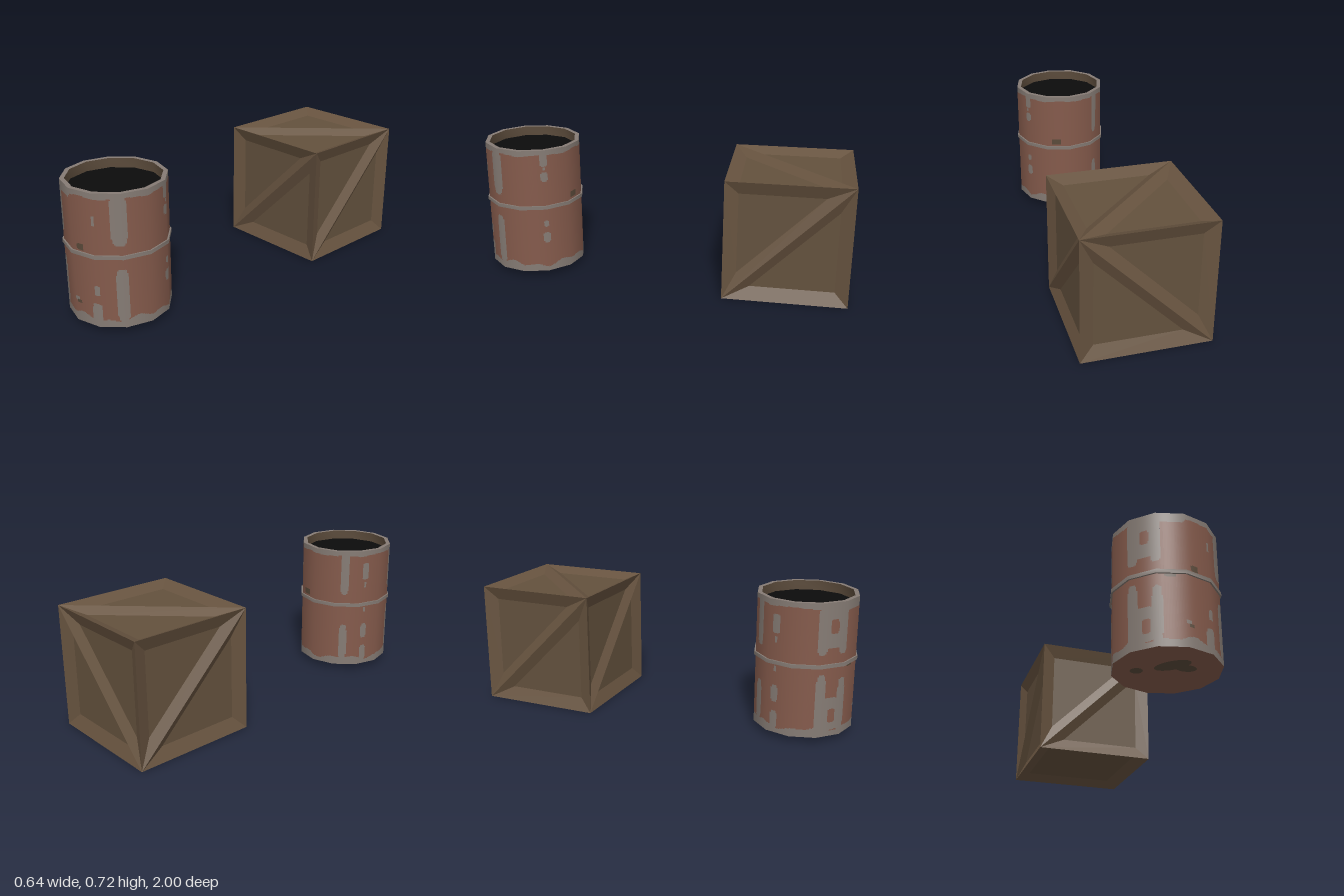
import * as THREE from 'three';
import { toCreasedNormals } from 'three/addons/utils/BufferGeometryUtils.js';

const mat = (name, color) => {
  const m = new THREE.MeshStandardMaterial({ color });
  m.name = name;
  return m;
};
const rad = THREE.MathUtils.degToRad;

function geometryFrom(positions, normals) {
  const g = new THREE.BufferGeometry();
  g.setAttribute('position', new THREE.Float32BufferAttribute(positions, 3));
  if (normals) g.setAttribute('normal', new THREE.Float32BufferAttribute(normals, 3));
  else g.computeVertexNormals();
  return g;
}

// ---------- crate ----------
const H = 0.3225; // half side
const INSET = 0.07, BAR = 0.05, DEPTH = 0.03;

// Sunken panel inside an outline: sloped border plus flat floor
function sunkenPanel(outer, inner) {
  const border = [], floor = [], n = outer.length;
  for (let i = 0; i < n; i++) {
    const j = (i + 1) % n;
    const a = [...outer[i], 0], b = [...outer[j], 0];
    const c = [...inner[j], -DEPTH], d = [...inner[i], -DEPTH];
    border.push(...a, ...b, ...c, ...a, ...c, ...d);
    if (i > 0 && i < n - 1) floor.push(...inner[0], -DEPTH, ...inner[i], -DEPTH, ...inner[j], -DEPTH);
  }
  return { border: geometryFrom(border), floor: geometryFrom(floor) };
}

function crateSide(name, braced, frameMat, panelMat) {
  const side = new THREE.Group();
  side.name = name;
  const add = (outer, inner) => {
    const { border, floor } = sunkenPanel(outer, inner);
    const frame = new THREE.Mesh(border, frameMat);
    frame.name = 'frameAndBrace';
    const panel = new THREE.Mesh(floor, panelMat);
    panel.name = 'panel';
    side.add(frame, panel);
  };
  const k = H - INSET, e = BAR * Math.SQRT2;
  if (braced) {
    // two triangular recesses leave a ridge along the diagonal
    const outer = [[-H, -H], [H, -H], [H, H]];
    const inner = [[-k + e, -k], [k, -k], [k, k - e]];
    const flip = (pts) => pts.map(([u, v]) => [v, u]).reverse();
    add(outer, inner);
    add(flip(outer), flip(inner));
  } else {
    add([[-H, -H], [H, -H], [H, H], [-H, H]], [[-k, -k], [k, -k], [k, k], [-k, k]]);
  }
  return side;
}

function createCrate(frameMat, panelMat) {
  const crate = new THREE.Group();
  crate.name = 'crate';
  const q = Math.PI / 2;
  const sides = [
    ['crateFront', 0, 0, 0, true],
    ['crateLeft', 0, q, 0, true],
    ['crateBack', 0, 2 * q, q, true],
    ['crateRight', 0, -q, 0, true],
    ['crateTop', -q, 0, 0, true],
    ['crateBottom', q, 0, 0, false],
  ];
  for (const [name, rx, ry, rz, braced] of sides) {
    const s = crateSide(name, braced, frameMat, panelMat);
    s.rotation.set(rx, ry, rz);
    s.position.set(0, 0, H).applyEuler(new THREE.Euler(rx, ry, 0));
    crate.add(s);
  }
  crate.position.set(0, H, -1 + H);
  return crate;
}

// ---------- barrel ----------
const R = 0.258, SIDES = 12, Y0 = 0.032, Y1 = 0.72;
const STEEL = 0, RED = 1, GRIME = 2;

// Worn spots: angle from the front in degrees, height, half angle, half height, colour
const SPOTS = [
  [-44, 0.61, 19, 0.12, STEEL], [-57, 0.55, 6, 0.09, STEEL], [-31, 0.56, 6, 0.10, STEEL],
  [-14, 0.70, 15, 0.03, STEEL], [-43, 0.60, 5, 0.037, RED],
  [-57, 0.20, 6, 0.16, STEEL], [-30, 0.19, 5.5, 0.145, STEEL], [-44, 0.15, 14, 0.085, STEEL],
  [-42, 0.14, 5, 0.036, RED],
  [57, 0.59, 9, 0.13, STEEL], [58, 0.20, 7, 0.14, STEEL],
  [30, 0.585, 2, 0.025, STEEL], [30, 0.225, 3.5, 0.026, STEEL], [29, 0.10, 6, 0.055, STEEL],
  [2, 0.155, 3, 0.011, STEEL], [4, 0.14, 3, 0.009, GRIME],
  [120, 0.68, 4.5, 0.05, STEEL], [120, 0.62, 2, 0.01, STEEL], [120, 0.575, 4, 0.027, STEEL],
  [120, 0.31, 2.5, 0.018, STEEL], [120, 0.23, 4, 0.03, STEEL],
  [221, 0.60, 5.5, 0.135, STEEL], [221, 0.17, 5, 0.11, STEEL],
  [249, 0.60, 4.5, 0.05, STEEL], [249, 0.52, 2, 0.015, STEEL],
  [249, 0.37, 2, 0.015, STEEL], [249, 0.24, 4, 0.045, STEEL], [249, 0.10, 4, 0.05, STEEL],
  [11, 0.435, 4.5, 0.017, GRIME], [-16, 0.388, 6, 0.008, GRIME], [162, 0.44, 6, 0.018, GRIME],
];

function wallColour(deg, y) {
  const t = rad(deg);
  const low = 0.072 + 0.009 * Math.sin(5 * t + 1) + 0.007 * Math.sin(11 * t);
  const high = 0.692 + 0.003 * Math.sin(7 * t);
  let colour = y < low || y > high ? STEEL : RED;
  for (const [a, h, da, dh, c] of SPOTS) {
    const u = ((((deg - a) % 360) + 540) % 360 - 180) / da, v = (y - h) / dh;
    if (u ** 4 + v ** 4 < 1) colour = c;
  }
  return colour;
}

// Twelve-sided wall cut into narrow columns, each run of one colour being one face
function barrelWall(materials) {
  const buckets = materials.map(() => ({ p: [], n: [] }));
  const step = 1.5, rows = 172, dy = (Y1 - Y0) / rows;
  const facet = 360 / SIDES;
  const at = (deg) => {
    const r = R * Math.cos(rad(facet / 2)) / Math.cos(rad(deg % facet - facet / 2));
    const s = Math.sin(rad(deg)), c = Math.cos(rad(deg));
    return { x: r * s, z: r * c, n: [s, 0, c] };
  };
  for (let deg = 0; deg < 360; deg += step) {
    const a = at(deg), b = at(deg + step);
    let start = 0;
    for (let i = 1; i <= rows; i++) {
      const c = wallColour(deg + step / 2, Y0 + (start + 0.5) * dy);
      if (i < rows && wallColour(deg + step / 2, Y0 + (i + 0.5) * dy) === c) continue;
      const lo = Y0 + start * dy, hi = Y0 + i * dy, { p, n } = buckets[c];
      p.push(a.x, lo, a.z, b.x, lo, b.z, b.x, hi, b.z, a.x, lo, a.z, b.x, hi, b.z, a.x, hi, a.z);
      n.push(...a.n, ...b.n, ...b.n, ...a.n, ...b.n, ...a.n);
      start = i;
    }
  }
  const names = ['wallBareSteel', 'wallPaint', 'wallGrime'];
  return buckets.map(({ p, n }, i) => {
    const mesh = new THREE.Mesh(geometryFrom(p, n), materials[i]);
    mesh.name = names[i];
    return mesh;
  });
}

function createBarrel(steel, red, grime, black) {
  const barrel = new THREE.Group();
  barrel.name = 'barrel';
  barrel.add(...barrelWall([steel, red, grime]));
  const lathe = (name, pts, material) => {
    const g = new THREE.LatheGeometry(pts.map(([r, y]) => new THREE.Vector2(r, y)), SIDES);
    const mesh = new THREE.Mesh(toCreasedNormals(g, 0.7), material);
    mesh.name = name;
    barrel.add(mesh);
  };
  const ri = 0.235, yi = Y1 - 0.05;
  lathe('rim', [[R, Y1], [ri, Y1]], steel);
  lathe('innerWall', [[ri, Y1], [ri, yi]], grime);
  lathe('darkInside', [[ri, yi], [0, yi]], black);
  lathe('base', [[0, Y0], [R, Y0]], red);
  lathe('hoop', [[0.245, 0.394], [0.266, 0.394], [0.266, 0.413], [0.245, 0.413]], steel);

  // stains on the underside
  for (const [x, z, w, h, turn] of [[0, 0.07, 0.09, 0.045, 45], [0.07, 0.06, 0.05, 0.035, 0], [-0.135, -0.035, 0.03, 0.03, 0]]) {
    const stain = new THREE.Mesh(new THREE.CircleGeometry(1, 16), grime);
    stain.name = 'baseStain';
    stain.scale.set(w, h, 1);
    stain.rotation.set(Math.PI / 2, 0, rad(turn));
    stain.position.set(x, Y0 - 0.002, z);
    barrel.add(stain);
  }
  barrel.position.z = 0.734;
  return barrel;
}

export function createModel() {
  const model = new THREE.Group();
  model.name = 'crateAndBarrel';
  model.add(
    createCrate(mat('wood', 0x67533f), mat('woodPanel', 0x63513d)),
    createBarrel(mat('bareSteel', 0x857b74), mat('redPaint', 0x845a4b), mat('grime', 0x5a4a3a), mat('black', 0x0c0c0c)),
  );
  return model;
}
